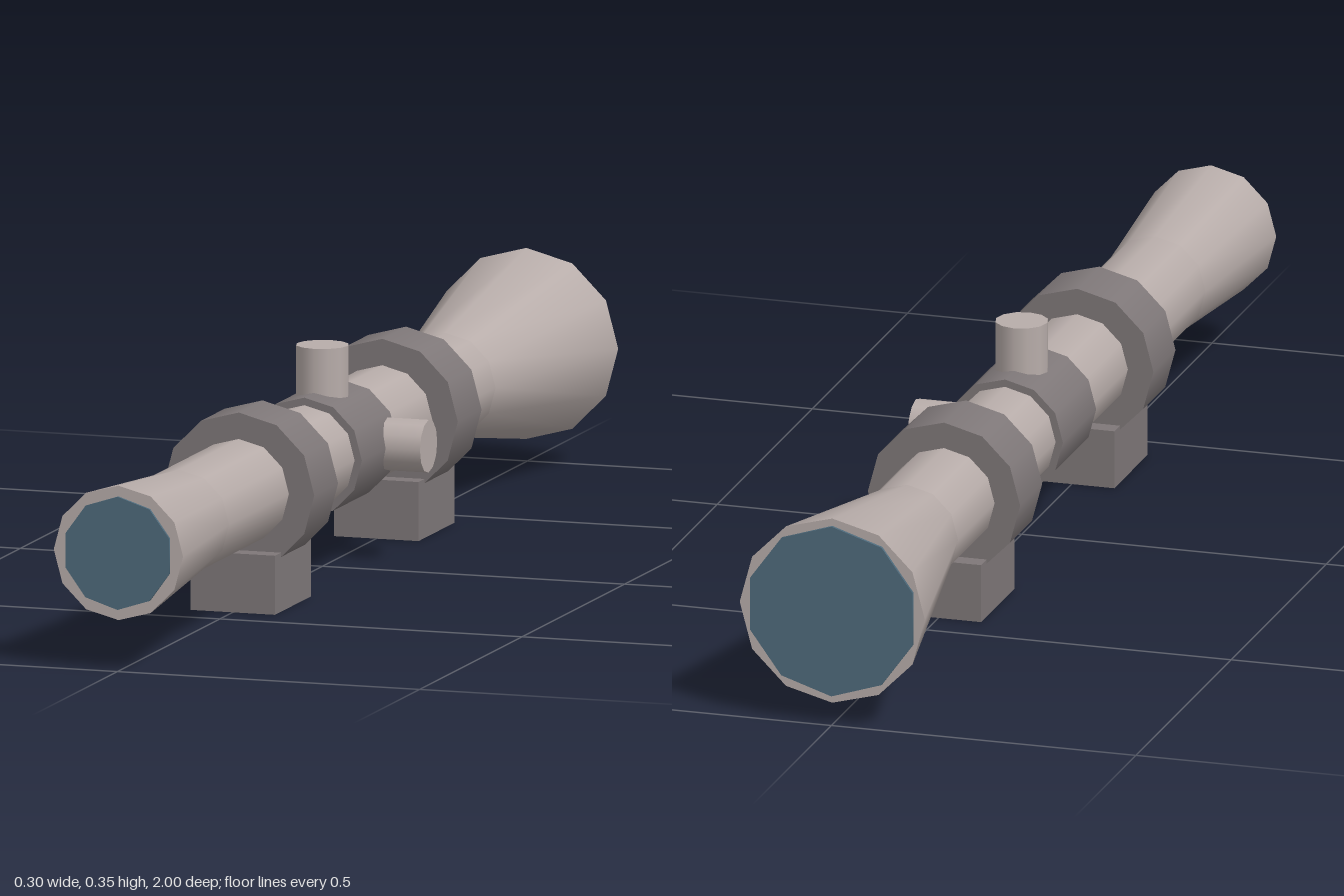
import * as THREE from 'three';

const AXIS_Y = 0.188;

function mat(name, color) {
  const m = new THREE.MeshStandardMaterial({ color });
  m.name = name;
  return m;
}

export function createModel() {
  const body = mat('warm grey', 0xb8adaa);
  const dark = mat('dark grey', 0x7f7879);
  const glass = mat('blue glass', 0x4f6b7c);
  const model = new THREE.Group();
  model.name = 'scope';

  function add(name, geometry, material) {
    const mesh = new THREE.Mesh(geometry, material);
    mesh.name = name;
    model.add(mesh);
    return mesh;
  }

  // Cylinder or cone along the optical axis, from z0 to z1 (z0 < z1)
  function barrel(name, r0, r1, z0, z1, material, sides = 12) {
    const g = new THREE.CylinderGeometry(r1, r0, z1 - z0, sides);
    g.rotateX(Math.PI / 2);
    g.translate(0, AXIS_Y, (z0 + z1) / 2);
    return add(name, g, material);
  }

  // Main tube with its two flared ends
  barrel('mainTube', 0.083, 0.083, -0.6, 0.7, body);
  barrel('eyepiece', 0.083, 0.107, 0.7, 0.995, body);
  barrel('objectiveBell', 0.152, 0.083, -0.995, -0.6, body);

  // Lenses standing just proud of the rims
  barrel('eyepieceLens', 0.09, 0.09, 0.99, 1, glass, 10);
  barrel('objectiveLens', 0.14, 0.14, -1, -0.99, glass, 10);

  // Central turret housing
  barrel('turretHousing', 0.095, 0.095, -0.0875, 0.0875, dark);

  // Mounting rings and their feet
  for (const z of [0.35, -0.35]) {
    const end = z > 0 ? 'front' : 'rear';
    barrel(end + 'Ring', 0.125, 0.125, z - 0.058, z + 0.058, dark);
    const foot = add(end + 'Foot', new THREE.BoxGeometry(0.14, 0.094, 0.175), dark);
    foot.position.set(0, 0.047, z);
  }

  // Adjustment knobs on top and on the left side
  const topKnob = add('topKnob', new THREE.CylinderGeometry(0.042, 0.042, 0.09, 12), body);
  topKnob.position.set(0, 0.308, 0);
  const sideKnob = add('sideKnob', new THREE.CylinderGeometry(0.042, 0.042, 0.09, 12), body);
  sideKnob.rotation.z = -Math.PI / 2;
  sideKnob.position.set(0.107, AXIS_Y, -0.07);

  return model;
}
